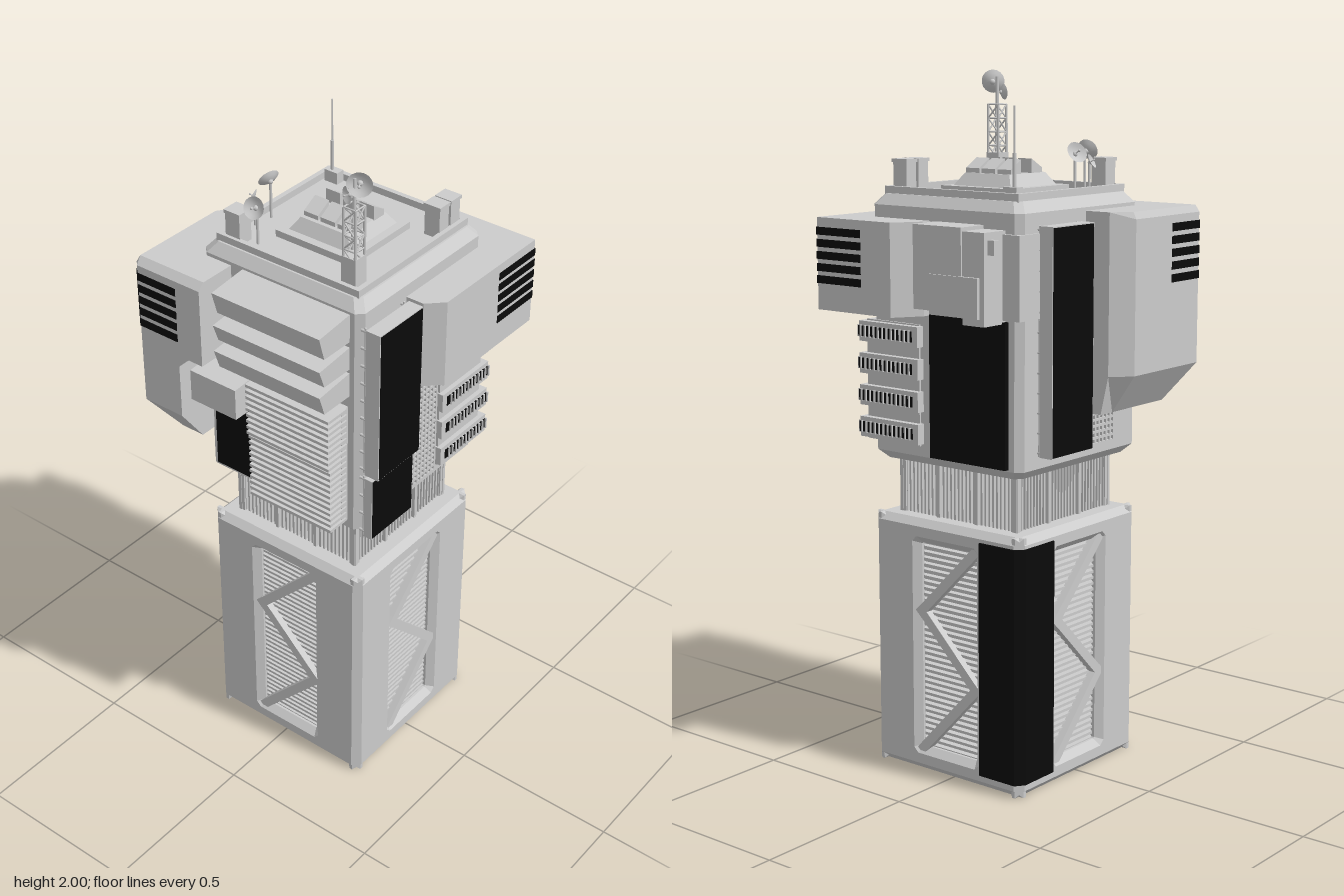
import * as THREE from 'three';

const CX = 0.015, CZ = -0.01; // axis of the tower
const grey = new THREE.MeshStandardMaterial({ color: 0xcccccc });
const thin = new THREE.MeshStandardMaterial({ color: 0xcccccc, side: THREE.DoubleSide });
const black = new THREE.MeshStandardMaterial({ color: 0x0a0a0a });

export function createModel() {
  const root = new THREE.Group();
  root.name = 'tower';

  const add = (name, geo, parent = root, mat = grey) => {
    const m = new THREE.Mesh(geo, mat);
    m.name = name;
    parent.add(m);
    return m;
  };
  const group = (name, parent = root) => {
    const g = new THREE.Group();
    g.name = name;
    parent.add(g);
    return g;
  };
  // box given by its extents
  const box = (name, x0, x1, y0, y1, z0, z1, parent, mat) => {
    const m = add(name, new THREE.BoxGeometry(x1 - x0, y1 - y0, z1 - z0), parent, mat);
    m.position.set((x0 + x1) / 2, (y0 + y1) / 2, (z0 + z1) / 2);
    return m;
  };
  // upright prism over a plan of [x, z] points; move(v) may reshape its corners
  const prism = (name, plan, y0, y1, parent, mat, move) => {
    const s = new THREE.Shape(plan.map(([x, z]) => new THREE.Vector2(x, -z)));
    const geo = new THREE.ExtrudeGeometry(s, { depth: y1 - y0, bevelEnabled: false });
    geo.rotateX(-Math.PI / 2).translate(0, y0, 0);
    if (move) {
      const p = geo.attributes.position, v = new THREE.Vector3();
      for (let i = 0; i < p.count; i++) {
        move(v.fromBufferAttribute(p, i));
        p.setXYZ(i, v.x, v.y, v.z);
      }
      geo.computeVertexNormals();
    }
    return add(name, geo, parent, mat);
  };
  const strut = (name, a, b, r, parent) => {
    const A = new THREE.Vector3(...a), B = new THREE.Vector3(...b), d = B.clone().sub(A);
    const m = add(name, new THREE.CylinderGeometry(r, r, d.length(), 6), parent);
    m.position.copy(A).add(B).multiplyScalar(0.5);
    m.quaternion.setFromUnitVectors(new THREE.Vector3(0, 1, 0), d.normalize());
  };
  // square plan with cut corners
  const cutSquare = (h, c) => [[-h, -h + c], [-h + c, -h], [h - c, -h], [h, -h + c],
    [h, h - c], [h - c, h], [-h + c, h], [-h, h - c]].map(([x, z]) => [CX + x, CZ + z]);
  // square tier whose top shrinks
  const tier = (name, cx, cz, h0, h1, y0, y1, parent) => {
    const geo = new THREE.CylinderGeometry(h1 * Math.SQRT2, h0 * Math.SQRT2, y1 - y0, 4, 1).toNonIndexed();
    geo.rotateY(Math.PI / 4).computeVertexNormals();
    add(name, geo, parent).position.set(cx, (y0 + y1) / 2, cz);
  };

  // Lower block: four bevelled plates with recessed, braced louvres
  const lower = group('lowerBlock');
  box('lowerCore', CX - 0.225, CX + 0.225, 0.01, 0.74, CZ - 0.225, CZ + 0.225, lower);
  for (const y of [0, 0.73]) box('lowerCap', CX - 0.25, CX + 0.25, y, y + 0.02, CZ - 0.25, CZ + 0.25, lower);
  const plate = new THREE.Shape();
  plate.moveTo(-0.25, 0.02).lineTo(0.25, 0.02).lineTo(0.25, 0.73).lineTo(-0.25, 0.73).closePath();
  const W = 0.122, C = 0.015;
  plate.holes.push(new THREE.Path([[-W + C, 0.05], [-W, 0.05 + C], [-W, 0.7 - C], [-W + C, 0.7],
    [W - C, 0.7], [W, 0.7 - C], [W, 0.05 + C], [W - C, 0.05]].map(p => new THREE.Vector2(...p))));
  const plateGeo = new THREE.ExtrudeGeometry(plate,
    { depth: 0.01, bevelSize: 0.02, bevelThickness: 0.02, bevelSegments: 1 }).translate(0, 0, 0.242);
  const zig = [[0.105, 0.685], [-0.095, 0.48], [0.105, 0.28], [-0.095, 0.065]];
  for (let k = 0; k < 4; k++) {
    const side = group('lowerSide', lower);
    side.position.set(CX, 0, CZ);
    side.rotation.y = k * Math.PI / 2;
    add('lowerPlate', plateGeo, side);
    for (let i = 0; i < 36; i++) {
      const y = 0.065 + i * 0.0175;
      box('louvre', -0.115, 0.115, y, y + 0.008, 0.22, 0.245, side);
    }
    for (let i = 0; i < 3; i++) {
      const [x0, y0] = zig[i], [x1, y1] = zig[i + 1];
      const bar = add('brace', new THREE.BoxGeometry(Math.hypot(x1 - x0, y1 - y0) + 0.03, 0.028, 0.025), side);
      bar.position.set((x0 + x1) / 2, (y0 + y1) / 2, 0.253);
      bar.rotation.z = Math.atan2(y1 - y0, x1 - x0);
    }
  }
  // dark cladding around the back corner
  prism('cornerPanel', [[-0.262, -0.262], [-0.242, -0.289], [-0.115, -0.289], [-0.115, -0.24],
    [-0.22, -0.24], [-0.22, -0.135], [-0.262, -0.135]], 0.04, 0.72, lower, black);

  // Ribbed neck
  const neck = group('neck');
  box('neckCore', CX - 0.2, CX + 0.2, 0.74, 0.93, CZ - 0.2, CZ + 0.2, neck);
  for (let k = 0; k < 4; k++) {
    const side = group('neckSide', neck);
    side.position.set(CX, 0, CZ);
    side.rotation.y = k * Math.PI / 2;
    for (let i = 0; i <= 30; i++) {
      const x = -0.21 + i * 0.014, wide = i % 10 === 0;
      box('rib', x - (wide ? 0.005 : 0.003), x + (wide ? 0.005 : 0.003), 0.74, 0.93, 0.195, wide ? 0.217 : 0.21, side);
    }
  }

  // Upper block with chamfered rims
  const upper = group('upperBlock');
  const taper = (h, y) => v => {
    if (Math.abs(v.y - y) < 1e-4) { v.x = CX + (v.x - CX) * h; v.z = CZ + (v.z - CZ) * h; }
  };
  const plan = cutSquare(0.27, 0.02);
  prism('upperBottom', plan, 0.91, 0.935, upper, grey, taper(0.91, 0.91));
  prism('upperWalls', plan, 0.935, 1.635, upper);
  prism('upperTop', plan, 1.635, 1.665, upper, grey, taper(0.91, 1.665));
  for (let k = 0; k < 4; k++) {
    const edge = group('roofKerb', upper);
    edge.position.set(CX, 0, CZ);
    edge.rotation.y = k * Math.PI / 2;
    box('kerb', -0.24, 0.24, 1.655, 1.685, 0.225, 0.24, edge);
  }

  // Front awnings, hood, window and fins
  const front = group('frontFittings');
  for (const [y0, y1] of [[1.375, 1.45], [1.46, 1.53], [1.545, 1.63]])
    prism('awning', [[-0.11, 0.385], [-0.11, 0.24], [0.25, 0.24], [0.25, 0.385]], y0, y1, front, grey,
      v => { if (v.z > 0.3) { if (v.y > y1 - 0.01) v.y -= 0.015; else v.z -= 0.02; } });
  prism('windowHood', [[-0.2, 0.385], [-0.2, 0.24], [-0.04, 0.24], [-0.04, 0.385]], 1.24, 1.345, front, grey,
    v => { if (v.z > 0.3 && v.y > 1.3) v.y -= 0.01; });
  box('darkWindow', -0.2, -0.04, 0.97, 1.228, 0.24, 0.29, front, black);
  box('finBack', -0.035, 0.245, 0.96, 1.34, 0.24, 0.285, front);
  for (let i = 0; i < 20; i++)
    box('fin', -0.035, 0.25, 0.965 + i * 0.0193, 0.974 + i * 0.0193, 0.27, i > 10 ? 0.35 : 0.342, front);

  // Front corner pod with louvres and a sloped foot
  const pod = group('frontPod');
  const near = (a, b) => Math.abs(a - b) < 1e-4;
  prism('podUpper', [[-0.385, 0.065], [-0.335, 0.01], [-0.2, 0.01], [-0.15, 0.24], [-0.15, 0.39], [-0.37, 0.39], [-0.385, 0.375]],
    1.37, 1.605, pod);
  prism('podTop', [[-0.385, 0.065], [-0.335, 0.01], [-0.2, 0.01], [-0.15, 0.24], [-0.15, 0.39], [-0.37, 0.39], [-0.385, 0.375]],
    1.605, 1.625, pod, grey, v => { if (v.y > 1.62) { v.z = Math.min(v.z, 0.37); v.x = Math.max(v.x, -0.375); } });
  const podPlan = [[-0.385, 0.065], [-0.335, 0.01], [-0.235, 0.01], [-0.235, 0.39], [-0.37, 0.39], [-0.385, 0.375]];
  prism('podLower', podPlan, 1.17, 1.37, pod);
  prism('podFoot', podPlan, 1.06, 1.17, pod, grey,
    v => { if (near(v.y, 1.06)) { v.x = Math.max(v.x, -0.31); v.z = Math.min(v.z, 0.31); } });
  prism('podGusset', [[-0.235, 0.39], [-0.235, 0.24], [-0.2, 0.24], [-0.2, 0.39]], 1.335, 1.37, pod, grey,
    v => { if (v.x > -0.21 && v.y < 1.36) v.y = 1.369; });
  for (let i = 0; i < 5; i++)
    prism('podLouvre', [[-0.387, 0.24], [-0.235, 0.24], [-0.235, 0.392], [-0.371, 0.392], [-0.387, 0.376]],
      1.415 + i * 0.036, 1.438 + i * 0.036, pod, black);

  // Back corner pod
  const back = group('backPod');
  prism('backPodBody', [[0.06, -0.25], [0.06, -0.31], [0.11, -0.39], [0.385, -0.39], [0.385, 0.02], [0.34, 0.065], [0.26, 0.065]],
    1.34, 1.6, back);
  for (let i = 0; i < 5; i++)
    box('backPodLouvre', 0.22, 0.387, 1.415 + i * 0.034, 1.437 + i * 0.034, -0.392, -0.22, back, black);

  // Four vent boxes around the back corner
  const vents = group('ventBoxes');
  box('ventBack', 0.1, 0.296, 0.965, 1.31, -0.286, -0.09, vents);
  for (let i = 0; i < 4; i++) {
    const y = 0.972 + i * 0.092;
    box('ventBox', 0.09, 0.31, y, y + 0.058, -0.305, -0.085, vents);
    box('ventSlot', 0.11, 0.312, y + 0.014, y + 0.044, -0.307, -0.105, vents, black);
    for (let j = 0; j < 12; j++) {
      const t = 0.012 + j * 0.0165;
      box('ventBar', 0.305, 0.316, y + 0.012, y + 0.046, -0.112 - t, -0.107 - t, vents);
      box('ventBar', 0.105 + t, 0.11 + t, y + 0.012, y + 0.046, -0.311, -0.3, vents);
    }
  }

  // Wire grids on both flanks
  const grid = (x0, x1, z0, z1) => {
    const g = group('wireGrid');
    for (let i = 0; i <= 8; i++) {
      const z = z0 + (z1 - z0) * i / 8;
      box('gridUpright', x0, x1, 0.96, 1.315, z - 0.0035, z + 0.0035, g);
    }
    for (let i = 0; i <= 20; i++) box('gridRail', x0, x1, 0.96 + i * 0.0174, 0.967 + i * 0.0174, z0, z1, g);
  };
  grid(0.28, 0.3, -0.07, 0.062);
  grid(-0.262, -0.245, 0.0, 0.14);

  // Dark-faced slabs on brackets: s is the outward x direction
  const slab = (s, inner, outer, y0, y1, z0, z1) => {
    const g = group('sideSlab');
    const ext = (a, b) => [Math.min(s * a, s * b), Math.max(s * a, s * b)];
    box('slabBody', ...ext(inner, outer - 0.002), y0, y1, z0, z1, g);
    box('slabFace', ...ext(outer - 0.002, outer), y0 + 0.003, y1 - 0.003, z0 + 0.003, z1 - 0.003, g, black);
    const wall = s > 0 ? 0.28 : 0.24;
    for (const z of [z0 + 0.01, z1 - 0.01]) {
      const x = s * (inner - 0.008);
      strut('bracketPole', [x, y0, z], [x, y1, z], 0.003, g);
      const n = Math.round((y1 - y0) / 0.06);
      for (let i = 0; i <= n; i++) {
        const y = y0 + 0.01 + (y1 - y0 - 0.02) * i / n;
        strut('bracket', [s * wall, y, z], [s * (inner + 0.002), y, z], 0.004, g);
      }
    }
  };
  slab(1, 0.302, 0.35, 1.14, 1.6, 0.077, 0.26);
  slab(1, 0.302, 0.33, 0.93, 1.128, 0.077, 0.26);
  slab(-1, 0.268, 0.313, 0.97, 1.6, -0.212, -0.028);

  // Stepped cabinets and dark panel on the back
  const rear = group('rearCabinets');
  box('rearCabinet', -0.13, 0.04, 1.37, 1.6, -0.375, -0.25, rear);
  box('rearCabinetSide', -0.205, -0.13, 1.34, 1.59, -0.37, -0.25, rear);
  box('rearCabinetEnd', 0.04, 0.052, 1.4, 1.57, -0.355, -0.25, rear);
  box('rearCabinetCover', -0.19, -0.02, 1.36, 1.47, -0.38, -0.25, rear);
  box('rearCabinetTab', -0.228, -0.2, 1.53, 1.57, -0.355, -0.335, rear);
  box('rearSidePlate', -0.262, -0.2, 1.35, 1.58, -0.292, -0.155, rear);
  box('rearPanel', -0.215, 0.055, 0.94, 1.345, -0.295, -0.25, rear, black);

  // Roof skylight
  const roof = group('roof');
  tier('skylightBase', 0.0175, -0.0075, 0.128, 0.128, 1.66, 1.685, roof);
  tier('skylightTier', 0.0175, -0.0075, 0.103, 0.08, 1.685, 1.72, roof);
  for (const x of [-0.062, -0.005, 0.052])
    for (const [hi, lo] of [[-0.035, -0.08], [0.012, 0.06]])
      prism('skylight', [[x, Math.min(hi, lo)], [x, Math.max(hi, lo)], [x + 0.048, Math.max(hi, lo)], [x + 0.048, Math.min(hi, lo)]],
        1.715, 1.76, roof, grey, v => { if (v.y > 1.75 && near(v.z, lo)) v.y = 1.733; });
  // roof cabinets
  for (const [x, z, d] of [[0.19, -0.231, 0.047], [0.19, -0.18, 0.047], [-0.203, 0.17, 0.053]]) {
    box('roofCabinet', x + 0.003, x + 0.052, 1.66, 1.75, z + 0.003, z + d - 0.003, roof);
    box('cabinetLid', x, x + 0.055, 1.75, 1.76, z, z + d, roof);
  }
  // whip aerial
  box('aerialBase', -0.203, -0.158, 1.66, 1.7, -0.232, -0.204, roof);
  strut('aerialMount', [-0.185, 1.69, -0.217], [-0.185, 1.79, -0.217], 0.005, roof);
  strut('aerial', [-0.185, 1.78, -0.217], [-0.185, 1.915, -0.217], 0.0025, roof);

  // Dishes: lathe bowl opening along +z, then turned
  const dish = (x, y, z, r, yaw, pitch) => {
    const g = group('dish', roof);
    const pts = [0, 0.35, 0.7, 1].map(t => new THREE.Vector2(Math.max(t * r, 1e-4), 0.4 * r * t * t));
    add('bowl', new THREE.LatheGeometry(pts, 18).rotateX(Math.PI / 2), g, thin);
    strut('feedArm', [0, 0, 0], [0, 0, 0.75 * r], 0.0018, g);
    add('feed', new THREE.SphereGeometry(0.13 * r, 8, 6), g).position.z = 0.75 * r;
    add('hub', new THREE.SphereGeometry(0.25 * r, 8, 6), g);
    g.position.set(x, y, z);
    g.rotation.set(pitch, yaw, 0, 'YXZ');
  };
  dish(-0.122, 1.775, 0.185, 0.031, 0.15, -0.4);
  strut('dishPost', [-0.122, 1.66, 0.18], [-0.122, 1.775, 0.18], 0.004, roof);
  dish(-0.185, 1.775, 0.05, 0.031, -1.9, -0.5);
  strut('dishPost', [-0.185, 1.66, 0.05], [-0.185, 1.775, 0.05], 0.004, roof);
  dish(-0.192, 1.75, 0.108, 0.021, -1.2, -0.5);
  strut('dishPost', [-0.192, 1.66, 0.108], [-0.192, 1.75, 0.108], 0.004, roof);

  // Lattice mast with two dishes
  const mast = group('mast');
  const ring = [[0.192, 0.175], [0.23, 0.175], [0.23, 0.213], [0.192, 0.213]];
  ring.forEach(([x, z], k) => {
    const [nx, nz] = ring[(k + 1) % 4];
    strut('mastLeg', [x, 1.66, z], [x, 1.9, z], 0.004, mast);
    for (let i = 0; i < 6; i++) {
      const y = 1.66 + i * 0.04, up = i % 2 * 0.04;
      strut('mastRail', [x, y + 0.04, z], [nx, y + 0.04, nz], 0.0025, mast);
      strut('mastBrace', [x, y + up, z], [nx, y + 0.04 - up, nz], 0.0025, mast);
    }
  });
  box('mastFoot', 0.188, 0.234, 1.66, 1.76, 0.171, 0.217, mast);
  strut('mastTop', [0.211, 1.89, 0.194], [0.211, 1.98, 0.194], 0.005, mast);
  dish(0.222, 1.965, 0.185, 0.034, 0.55, -0.1);
  dish(0.205, 1.935, 0.204, 0.023, -0.4, -0.1);
  return root;
}
